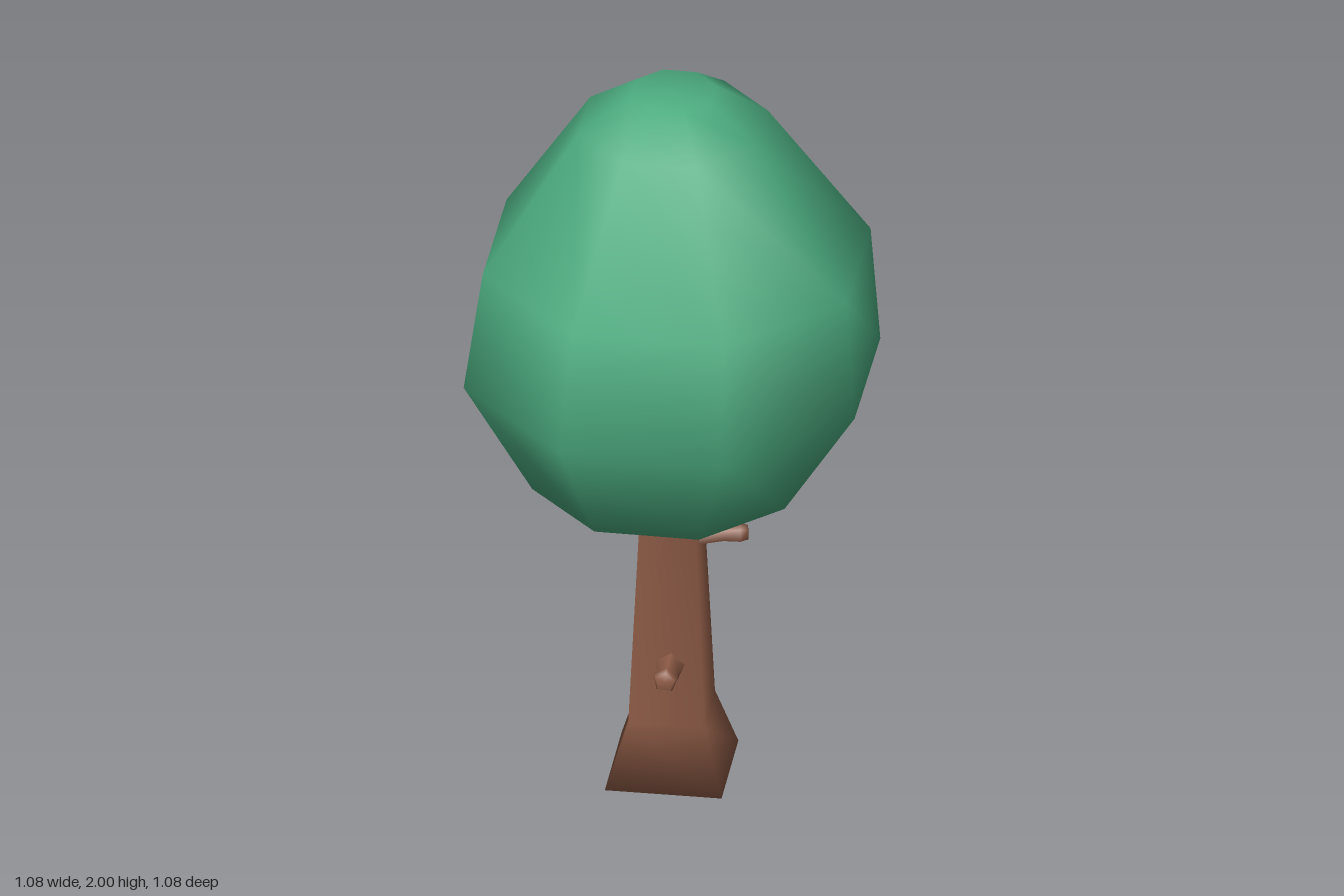
import * as THREE from 'three';

export function createModel() {
  const tree = new THREE.Group();
  tree.name = 'tree';

  const leaf = new THREE.MeshStandardMaterial({ color: 0x4cac80 });
  leaf.name = 'leaf green';
  const bark = new THREE.MeshStandardMaterial({ color: 0x8f5c47 });
  bark.name = 'bark brown';

  // Smooth low-poly turned solid; each ring is [radius, y, sideways shift], bottom to top
  function turned(name, rings, sides, turn, material) {
    const geometry = new THREE.LatheGeometry(rings.map(([r, y]) => new THREE.Vector2(r, y)), sides, turn);
    const position = geometry.attributes.position;
    for (let i = 0; i < position.count; i++) {
      const shift = rings[i % rings.length][2] ?? 0;
      position.setX(i, position.getX(i) + shift);
    }
    const mesh = new THREE.Mesh(geometry, material);
    mesh.name = name;
    tree.add(mesh);
    return mesh;
  }

  // Crown: eight-sided egg, slightly uneven, with a shallow hollow underneath
  turned('crown', [
    [0, 0.91], [0.355, 0.873, -0.015], [0.55, 1.195], [0.512, 1.522, 0.013],
    [0.25, 1.907, 0.004], [0.112, 2, 0.004], [0, 2],
  ], 8, -0.187, leaf);

  // Trunk: four-sided with a flared foot
  const trunk = turned('trunk', [[0, 0], [0.214, 0], [0.139, 0.175], [0.096, 0.87], [0.092, 0.94], [0, 0.94]],
    4, 0.22, bark);
  trunk.position.set(0.002, 0, -0.007);

  // Branch stubs: five-sided, thick at the root, with a blunt knob at the tip
  function stub(name, from, to, size) {
    const start = new THREE.Vector3(...from);
    const direction = new THREE.Vector3(...to).sub(start);
    const length = direction.length();
    const mesh = turned(name, [
      [size * 1.35, 0], [size * 0.85, length * 0.6], [size, length * 0.88], [size * 0.75, length], [0, length],
    ], 5, 0, bark);
    mesh.position.copy(start);
    mesh.quaternion.setFromUnitVectors(new THREE.Vector3(0, 1, 0), direction.normalize());
  }
  stub('upperBranch', [0.03, 0.69, 0.02], [0.174, 0.698, 0.09], 0.027);
  stub('lowerBranch', [-0.025, 0.34, 0.05], [-0.094, 0.357, 0.163], 0.034);

  return tree;
}
